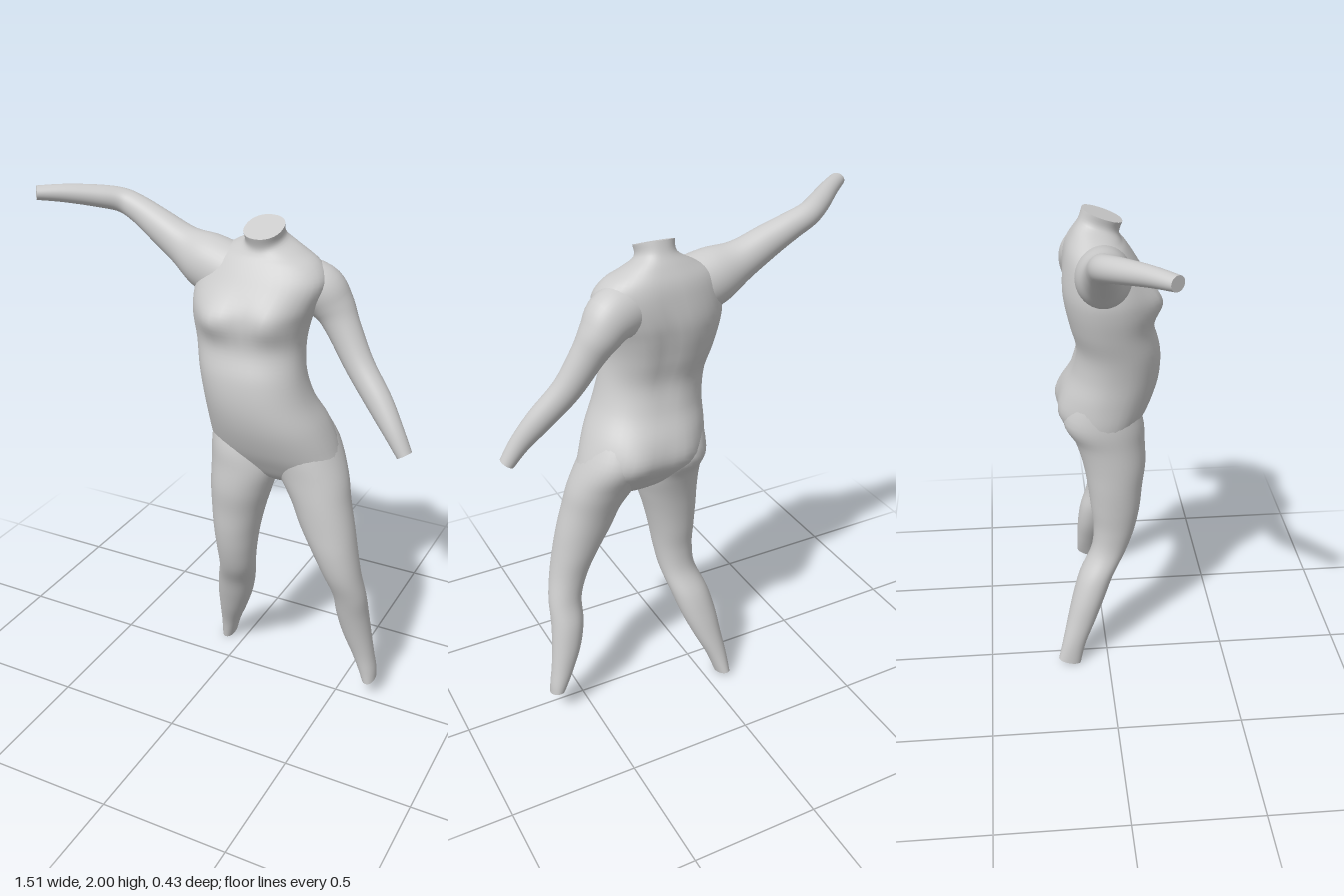
import * as THREE from 'three';

const material = new THREE.MeshStandardMaterial({ color: 0xcccccc });
const SIDES = 40;
const STEPS = 5;

// Catmull-Rom interpolation of every column of a table of sections
function refine(rows) {
  const out = [];
  const at = (i) => rows[Math.min(Math.max(i, 0), rows.length - 1)];
  for (let i = 0; i < rows.length - 1; i++) {
    for (let s = 0; s < STEPS; s++) {
      const t = s / STEPS;
      out.push(at(i).map((p1, k) => {
        const p0 = at(i - 1)[k], p2 = at(i + 1)[k], p3 = at(i + 2)[k];
        return p1 + 0.5 * t * (p2 - p0 + t * (2 * p0 - 5 * p1 + 4 * p2 - p3 + t * (3 * (p1 - p2) + p3 - p0)));
      }));
    }
  }
  out.push(rows[rows.length - 1]);
  return out;
}

// Smooth skin through a list of rings, with flat caps at both ends
function skin(name, rings) {
  const pos = [], index = [];
  rings.forEach((ring) => ring.forEach((p) => pos.push(p.x, p.y, p.z)));
  for (let i = 0; i < rings.length - 1; i++) {
    for (let j = 0; j < SIDES; j++) {
      const k = (j + 1) % SIDES;
      const a = i * SIDES + j, b = i * SIDES + k;
      index.push(a, b, a + SIDES, b, b + SIDES, a + SIDES);
    }
  }
  [[rings[0], true], [rings[rings.length - 1], false]].forEach(([ring, first]) => {
    const base = pos.length / 3;
    const mid = ring.reduce((m, p) => m.add(p), new THREE.Vector3()).divideScalar(SIDES);
    [mid, ...ring].forEach((p) => pos.push(p.x, p.y, p.z));
    for (let j = 0; j < SIDES; j++) {
      const a = base + 1 + j, b = base + 1 + (j + 1) % SIDES;
      index.push(base, first ? b : a, first ? a : b);
    }
  });
  const geometry = new THREE.BufferGeometry();
  geometry.setAttribute('position', new THREE.Float32BufferAttribute(pos, 3));
  geometry.setIndex(index);
  geometry.computeVertexNormals();
  const mesh = new THREE.Mesh(geometry, material);
  mesh.name = name;
  return mesh;
}

// Level sections, top to bottom: y, xMin, xMax, zFront, zBack, tilt
function levelLoft(name, rows, power, shape = () => 0) {
  const soft = (v) => Math.sign(v) * Math.abs(v) ** (2 / power);
  return skin(name, refine(rows).map(([y, x0, x1, zf, zb, tilt]) => {
    const cz = (zf + zb) / 2;
    return Array.from({ length: SIDES }, (_, j) => {
      const a = (j / SIDES) * Math.PI * 2;
      const x = (x0 + x1) / 2 + (x1 - x0) / 2 * soft(Math.cos(a));
      const dz = (zf - zb) / 2 * soft(Math.sin(a));
      return new THREE.Vector3(x, y + tilt * dz, cz + dz + shape(x, y, Math.sin(a)));
    });
  }));
}

// Sections square to a limb's path: x, y, z, radius across, radius in depth
function limbLoft(name, rows) {
  const path = refine(rows);
  const point = (r) => new THREE.Vector3(r[0], r[1], r[2]);
  return skin(name, path.map((r, i) => {
    const t = point(path[Math.min(i + 1, path.length - 1)]).sub(point(path[Math.max(i - 1, 0)])).normalize();
    const v = new THREE.Vector3(0, 0, 1).addScaledVector(t, -t.z).normalize();
    const u = v.clone().cross(t);
    return Array.from({ length: SIDES }, (_, j) => {
      const a = (j / SIDES) * Math.PI * 2;
      return point(r).addScaledVector(u, r[3] * Math.cos(a)).addScaledVector(v, r[4] * Math.sin(a));
    });
  }));
}

// Soft swellings of the torso: x, y, width, height, amount
const frontForms = [[0.02, 1.61, 0.075, 0.065, 0.04], [0.25, 1.605, 0.07, 0.065, 0.032]];
const backForms = [[0.08, 1.12, 0.09, 0.08, -0.025], [0.31, 1.13, 0.09, 0.08, -0.03], [0.15, 1.53, 0.04, 0.2, 0.014]];
function torsoForms(x, y, facing) {
  const forms = facing > 0 ? frontForms : backForms;
  return Math.abs(facing) * forms.reduce((sum, [cx, cy, w, h, amount]) =>
    sum + amount * Math.exp(-(((x - cx) / w) ** 2) - ((y - cy) / h) ** 2), 0);
}

export function createModel() {
  const body = new THREE.Group();
  body.name = 'body';

  // Neck, chest, belly and hips
  body.add(levelLoft('torso', [
    [1.915, 0.065, 0.21, 0.07, -0.08, -0.36],
    [1.875, 0.063, 0.213, 0.058, -0.095, -0.3],
    [1.84, 0.0, 0.275, 0.065, -0.12, -0.15],
    [1.8, -0.07, 0.345, 0.085, -0.145, 0],
    [1.74, -0.11, 0.38, 0.125, -0.157, 0],
    [1.66, -0.125, 0.355, 0.17, -0.163, 0],
    [1.59, -0.12, 0.328, 0.185, -0.155, 0],
    [1.5, -0.1, 0.315, 0.187, -0.135, 0],
    [1.4, -0.076, 0.33, 0.215, -0.112, 0],
    [1.3, -0.06, 0.362, 0.22, -0.128, 0],
    [1.2, -0.055, 0.415, 0.203, -0.165, 0],
    [1.1, -0.05, 0.455, 0.165, -0.168, 0],
    [1.03, -0.03, 0.47, 0.125, -0.13, 0],
    [0.98, 0.06, 0.41, 0.09, -0.09, 0],
    [0.95, 0.17, 0.31, 0.05, -0.05, 0],
  ], 2.2, torsoForms));

  // Legs, hip to ankle
  body.add(levelLoft('rightLeg', [
    [1.25, -0.035, 0.15, 0.1, -0.1, 0],
    [1.1, -0.05, 0.2, 0.15, -0.165, 0],
    [1.0, -0.045, 0.222, 0.16, -0.12, 0],
    [0.9, -0.043, 0.2, 0.163, -0.09, 0],
    [0.8, -0.04, 0.172, 0.15, -0.072, 0],
    [0.7, -0.033, 0.15, 0.14, -0.06, 0],
    [0.6, -0.025, 0.135, 0.12, -0.05, 0],
    [0.5, -0.027, 0.12, 0.085, -0.062, 0],
    [0.4, -0.06, 0.095, 0.03, -0.113, 0],
    [0.3, -0.08, 0.065, -0.01, -0.145, 0],
    [0.2, -0.09, 0.025, -0.05, -0.17, 0],
    [0.1, -0.1, -0.02, -0.095, -0.193, -0.1],
    [0.012, -0.105, -0.05, -0.12, -0.213, -0.26],
  ], 2.1));
  body.add(levelLoft('leftLeg', [
    [1.25, 0.2, 0.37, 0.1, -0.11, 0],
    [1.12, 0.18, 0.445, 0.13, -0.165, 0],
    [1.0, 0.228, 0.5, 0.13, -0.12, 0],
    [0.9, 0.29, 0.525, 0.132, -0.085, 0],
    [0.8, 0.335, 0.55, 0.132, -0.065, 0],
    [0.7, 0.39, 0.57, 0.13, -0.05, 0],
    [0.6, 0.44, 0.59, 0.115, -0.038, 0],
    [0.5, 0.478, 0.61, 0.083, -0.045, 0],
    [0.4, 0.487, 0.616, 0.055, -0.073, 0],
    [0.3, 0.51, 0.626, 0.03, -0.085, 0],
    [0.2, 0.55, 0.64, 0.008, -0.087, 0],
    [0.13, 0.58, 0.652, 0.0, -0.087, -0.15],
    [0.085, 0.6, 0.655, -0.002, -0.085, -0.35],
  ], 2.1));

  // Arms, shoulder to wrist
  body.add(limbLoft('rightArm', [
    [0.03, 1.71, -0.01, 0.12, 0.11],
    [-0.1, 1.755, -0.02, 0.108, 0.1],
    [-0.2, 1.797, -0.03, 0.078, 0.073],
    [-0.31, 1.855, -0.04, 0.063, 0.06],
    [-0.4, 1.9, -0.05, 0.052, 0.051],
    [-0.475, 1.93, -0.047, 0.046, 0.046],
    [-0.55, 1.948, 0.0, 0.042, 0.044],
    [-0.65, 1.965, 0.08, 0.034, 0.036],
    [-0.733, 1.972, 0.148, 0.026, 0.031],
  ]));
  body.add(limbLoft('leftArm', [
    [0.23, 1.72, -0.04, 0.1, 0.095],
    [0.33, 1.695, -0.065, 0.1, 0.092],
    [0.385, 1.64, -0.075, 0.079, 0.08],
    [0.43, 1.57, -0.067, 0.065, 0.062],
    [0.508, 1.445, -0.045, 0.055, 0.052],
    [0.605, 1.33, -0.01, 0.05, 0.046],
    [0.675, 1.24, 0.018, 0.039, 0.038],
    [0.728, 1.16, 0.032, 0.029, 0.032],
  ]));

  return body;
}
